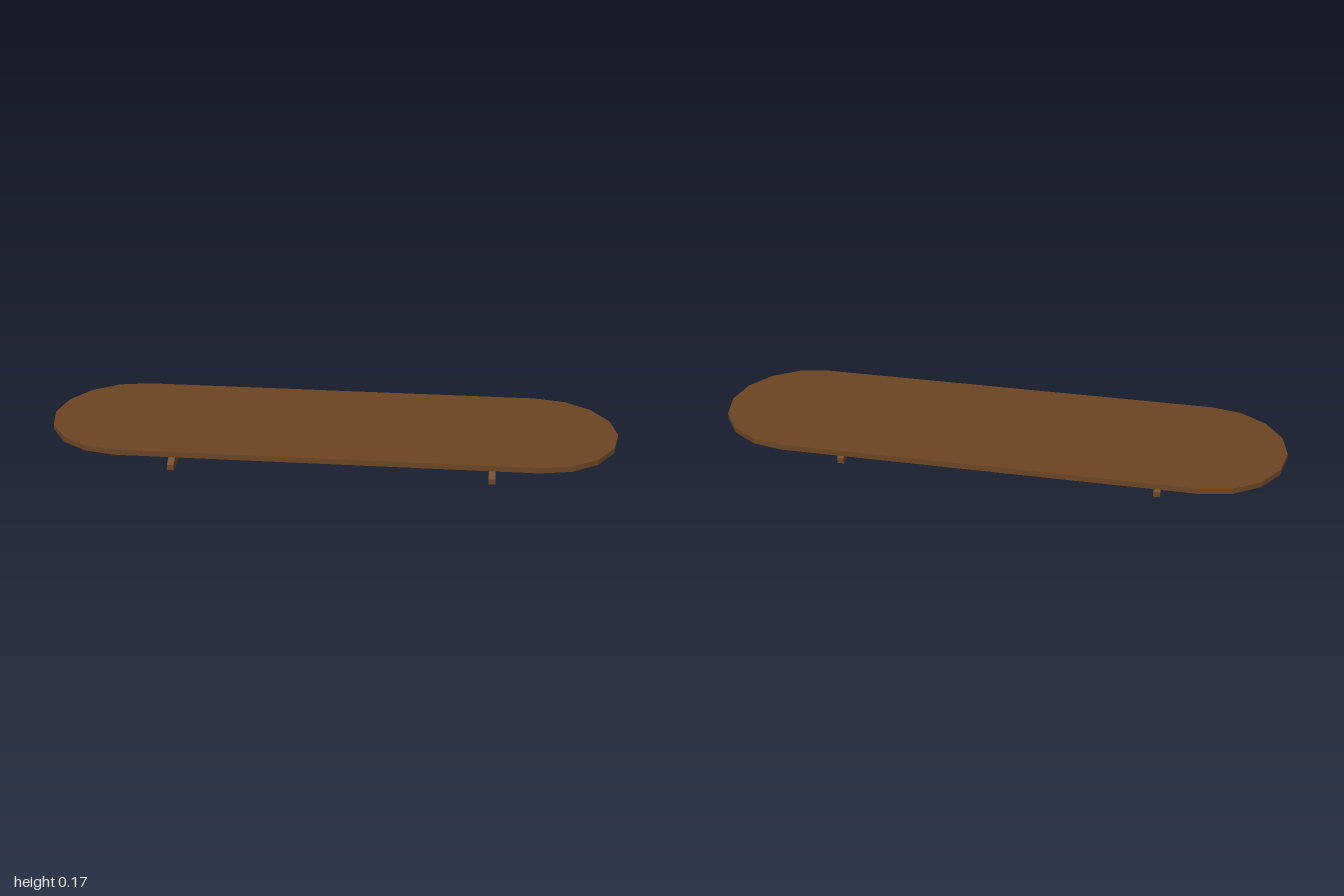
import * as THREE from 'three';

const wood = new THREE.MeshStandardMaterial({ color: 0x6b4423 });
wood.name = 'brown wood';

function extrude(points, depth) {
  const shape = new THREE.Shape(points.map(([x, y]) => new THREE.Vector2(x, y)));
  return new THREE.ExtrudeGeometry(shape, { depth, bevelEnabled: false });
}

export function createModel() {
  const group = new THREE.Group();
  group.name = 'lowBench';

  // Long board with faceted semicircular ends
  const radius = 0.28, straight = 0.72, steps = 8, outline = [];
  for (const side of [1, -1]) {
    for (let i = 0; i <= steps; i++) {
      const a = -Math.PI / 2 + (Math.PI * i) / steps;
      outline.push([side * (straight + radius * Math.cos(a)), side * radius * Math.sin(a)]);
    }
  }
  const boardGeometry = extrude(outline, 0.02);
  boardGeometry.rotateX(-Math.PI / 2);
  const board = new THREE.Mesh(boardGeometry, wood);
  board.name = 'board';
  board.position.y = 0.145;
  group.add(board);

  // Waisted pedestal legs: half-profile mirrored front to back
  const half = [[0.1, 0], [0.1, 0.02], [0.054, 0.045], [0.044, 0.097], [0.1, 0.129], [0.161, 0.145]];
  const profile = [...half, ...half.map(([z, y]) => [-z, y]).reverse()];
  const thickness = 0.024;
  const legGeometry = extrude(profile, thickness);
  legGeometry.translate(0, 0, -thickness / 2);
  legGeometry.rotateY(Math.PI / 2);
  for (const side of [1, -1]) {
    const leg = new THREE.Mesh(legGeometry, wood);
    leg.name = side > 0 ? 'leftLeg' : 'rightLeg';
    leg.position.x = side * 0.57;
    group.add(leg);
  }

  return group;
}
